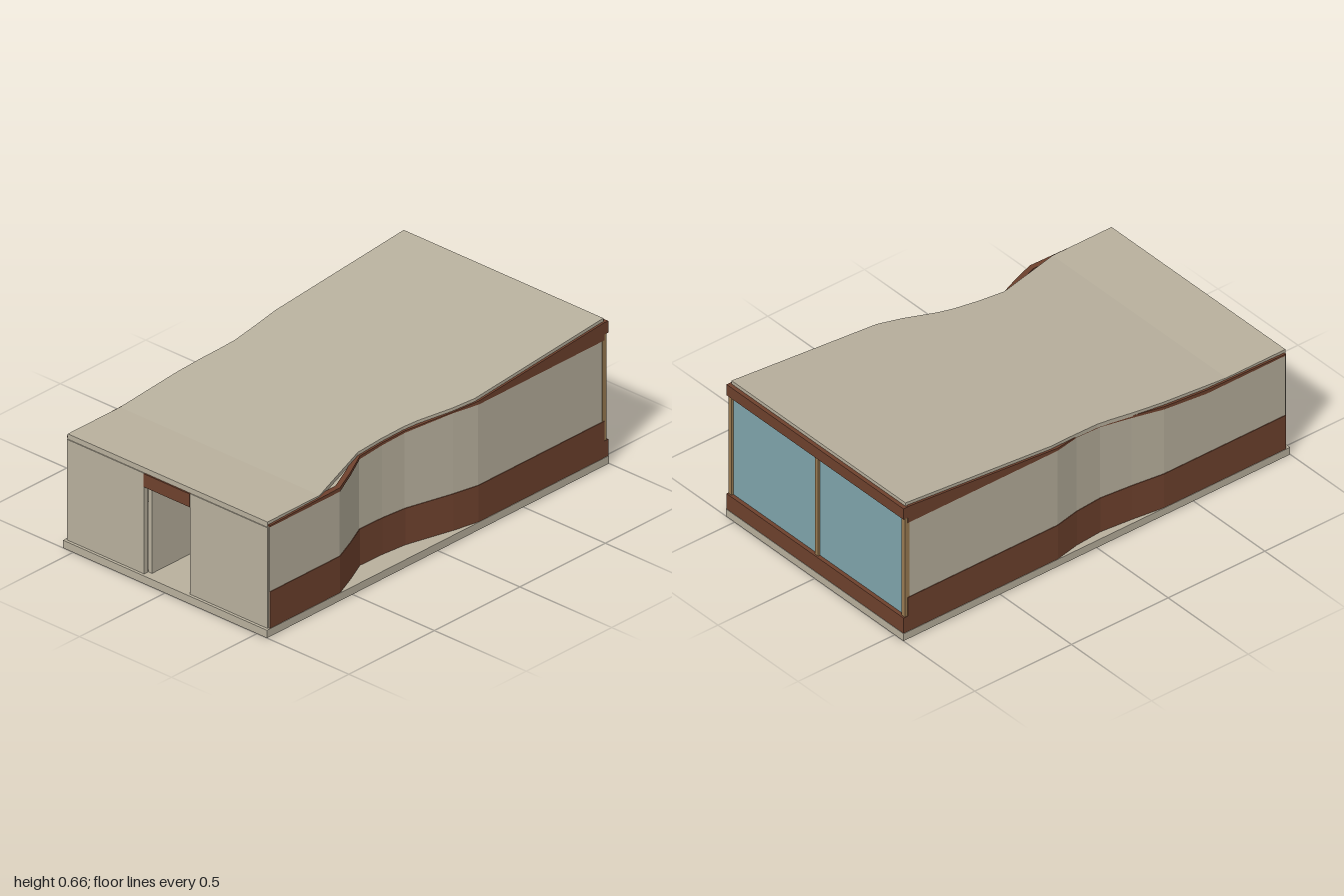
import * as THREE from 'three';

const mat = (name, color) => {
  const m = new THREE.MeshStandardMaterial({ color });
  m.name = name;
  return m;
};

// Heights along the building: roof top, and the top of the light wall panels
const roofTop = z => 0.515 + Math.max(0, 0.68 - z) * 0.0879;
const roofUnder = z => roofTop(z) - 0.014;
const panelTop = z => 0.493 + 0.073 * THREE.MathUtils.clamp((0.57 - z) / 0.69, 0, 1);

// Solid through rectangular sections [z, x0, x1, y0, y1], listed front to back
function loft(sections) {
  const rings = sections.map(([z, x0, x1, y0, y1]) =>
    [[x0, y0, z], [x1, y0, z], [x1, y1, z], [x0, y1, z]]);
  const pos = [];
  const quad = (a, b, c, d) => [a, b, c, a, c, d].forEach(p => pos.push(...p));
  for (let s = 0; s < rings.length - 1; s++) {
    const A = rings[s], B = rings[s + 1];
    for (let i = 0; i < 4; i++) {
      const j = (i + 1) % 4;
      quad(A[i], B[i], B[j], A[j]);
    }
  }
  quad(...rings[0]);
  quad(...[...rings[rings.length - 1]].reverse());
  const g = new THREE.BufferGeometry();
  g.setAttribute('position', new THREE.Float32BufferAttribute(pos, 3));
  g.computeVertexNormals();
  return g;
}

export function createModel() {
  const group = new THREE.Group();
  const plaster = mat('beige plaster', 0xb8b09d);
  const brown = mat('brown cladding', 0x6e412d);
  const glass = mat('blue glass', 0x80a5ac);
  const timber = mat('tan timber', 0x9a7b52);

  const add = (name, geo, material) => {
    const m = new THREE.Mesh(geo, material);
    m.name = name;
    group.add(m);
    return m;
  };
  // Box given by its limits
  const box = (name, material, x0, x1, y0, y1, z0, z1) => {
    const m = add(name, new THREE.BoxGeometry(x1 - x0, y1 - y0, z1 - z0), material);
    m.position.set((x0 + x1) / 2, (y0 + y1) / 2, (z0 + z1) / 2);
  };

  box('baseSlab', plaster, -0.555, 0.555, 0, 0.035, -1, 1);

  // Side walls: outer line in plan as [z, distance from the centre]
  const plans = {
    left: [1, [[0.98, 0.55], [0.57, 0.55], [0.455, 0.502], [0.35, 0.452], [0.22, 0.455],
      [0.1, 0.467], [-0.12, 0.525], [-0.24, 0.55], [-0.975, 0.55]]],
    right: [-1, [[0.98, 0.55], [0.57, 0.55], [0.35, 0.55], [0.2, 0.53], [0.05, 0.515],
      [-0.08, 0.525], [-0.2, 0.55], [-0.975, 0.55]]],
  };
  for (const [side, [sign, plan]] of Object.entries(plans)) {
    const wall = (out, thick, y0, y1) => loft(plan.map(([z, d]) => {
      const a = sign * (d + out - thick), b = sign * (d + out);
      return [z, Math.min(a, b), Math.max(a, b), y0(z), y1(z)];
    }));
    add(side + 'WallPanel', wall(0, 0.022, () => 0.035, panelTop), plaster);
    add(side + 'WallBase', wall(0.003, 0.008, () => 0.035, () => 0.2), brown);
    add(side + 'WallHead', wall(0.003, 0.025, panelTop, roofUnder), brown);
  }

  // Sloping roof with scalloped sides: [z, right edge, left edge]
  const roofPlan = [[0.985, -0.543, 0.543], [0.68, -0.543, 0.543], [0.57, -0.543, 0.51],
    [0.35, -0.542, 0.445], [0.22, -0.535, 0.449], [0.1, -0.524, 0.46], [0.03, -0.52, 0.474],
    [-0.12, -0.532, 0.52], [-0.23, -0.543, 0.543], [-0.98, -0.543, 0.543]];
  add('roof', loft(roofPlan.map(([z, x0, x1]) =>
    [z, x0, x1, roofTop(z) - 0.018, roofTop(z)])), plaster);
  box('frontEave', plaster, -0.543, 0.543, 0.49, 0.51, 0.965, 0.983);

  // Front wall with an open doorway
  for (const s of [-1, 1]) {
    box('frontWall', plaster, s < 0 ? -0.545 : 0.125, s < 0 ? -0.125 : 0.545,
      0.035, 0.49, 0.965, 0.987);
  }
  box('doorLintel', brown, -0.125, 0.125, 0.43, 0.49, 0.965, 0.99);
  box('openDoor', plaster, -0.122, -0.103, 0.037, 0.43, 0.72, 0.965);
  box('floorPane', glass, -0.1, 0.3, 0.035, 0.04, 0.45, 0.73);

  // Glazed rear wall
  box('rearGlass', glass, -0.54, 0.54, 0.1, 0.6, -0.98, -0.972);
  box('rearSill', brown, -0.553, 0.553, 0.035, 0.11, -0.998, -0.965);
  box('rearHead', brown, -0.553, 0.553, 0.592, 0.645, -0.998, -0.965);
  for (const x of [-0.541, 0, 0.541]) {
    box('rearMullion', timber, x - 0.01, x + 0.01, 0.11, 0.592, -0.99, -0.965);
  }
  return group;
}
